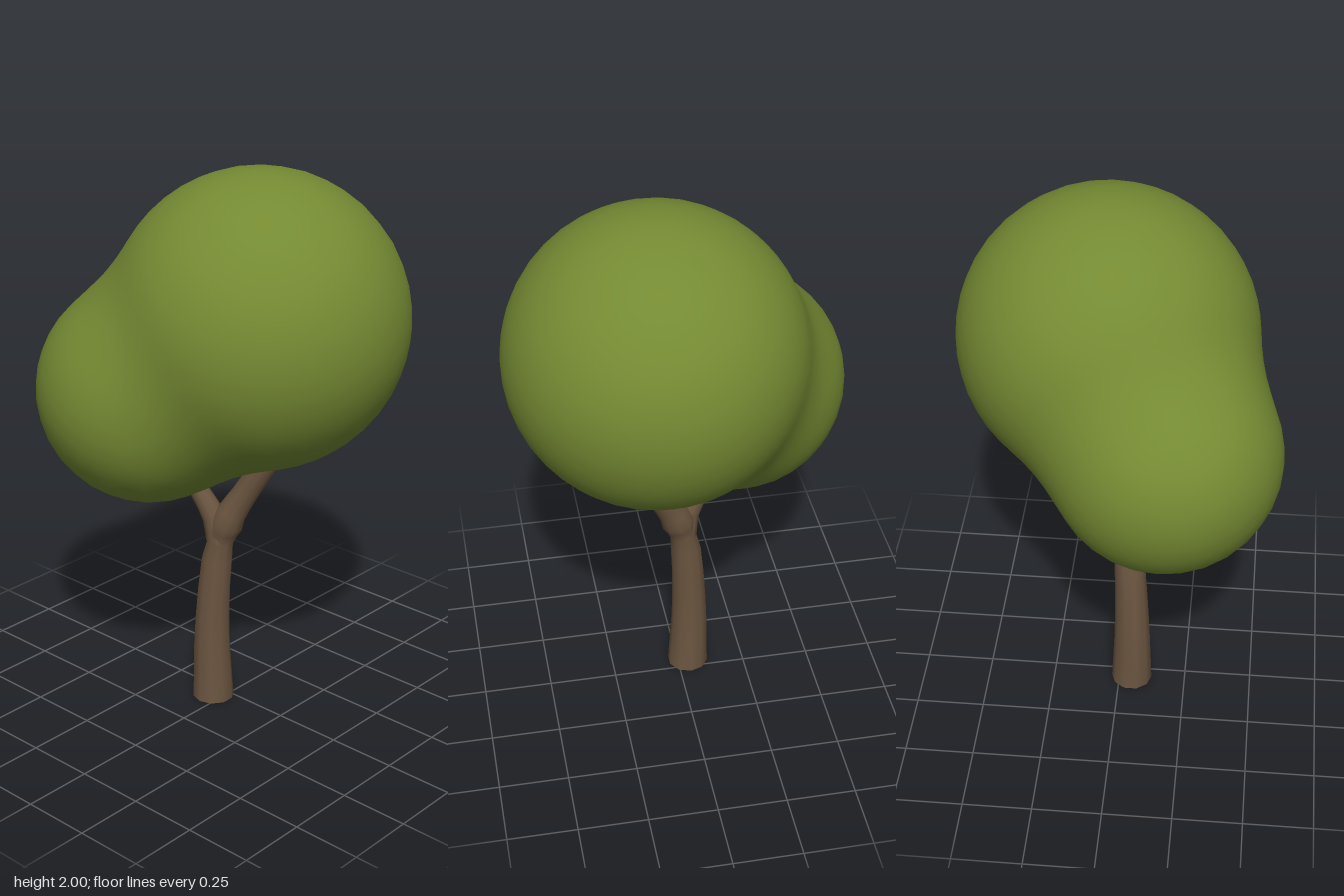
import * as THREE from 'three';
import { mergeVertices } from 'three/addons/utils/BufferGeometryUtils.js';

const V = (x, y, z) => new THREE.Vector3(x, y, z);

// Tapered limb through [x, y, z, radius] points, with horizontal-ish rings and closed ends
function limb(points, sides = 10, steps = 10) {
  const curve = new THREE.CatmullRomCurve3(points.map(p => V(p[0], p[1], p[2])));
  const radii = new THREE.CatmullRomCurve3(points.map(p => V(p[3], 0, 0)));
  const pos = [], index = [];
  for (let i = 0; i <= steps; i++) {
    const t = i / steps;
    const c = curve.getPoint(t), r = radii.getPoint(t).x;
    // the first ring lies flat so that the foot sits on the ground
    const dir = i === 0 ? V(0, 1, 0) : curve.getTangent(t);
    const q = new THREE.Quaternion().setFromUnitVectors(V(0, 1, 0), dir);
    for (let j = 0; j < sides; j++) {
      const a = j / sides * Math.PI * 2;
      const p = V(Math.sin(a) * r, 0, Math.cos(a) * r).applyQuaternion(q).add(c);
      pos.push(p.x, p.y, p.z);
      if (i < steps) {
        const k = (j + 1) % sides, b = i * sides;
        index.push(b + j, b + k, b + sides + k, b + j, b + sides + k, b + sides + j);
      }
    }
  }
  // end caps use their own corners to keep the rims sharp
  for (const ring of [0, steps]) {
    const start = pos.length / 3;
    pos.push(...pos.slice(ring * sides * 3, (ring + 1) * sides * 3));
    for (let j = 1; j < sides - 1; j++) {
      if (ring) index.push(start, start + j, start + j + 1);
      else index.push(start, start + j + 1, start + j);
    }
  }
  const g = new THREE.BufferGeometry();
  g.setAttribute('position', new THREE.Float32BufferAttribute(pos, 3));
  g.setIndex(index);
  g.computeVertexNormals();
  return g;
}

// Two balls of leaves melted together: push a sphere's points out to their blended surface
function foliage() {
  const big = { c: V(0.09, 1.48, -0.05), r: 0.522 };
  const small = { c: V(-0.22, 1.21, 0.17), r: 0.402 };
  const blend = 0.14;
  const distance = p => {
    const a = p.distanceTo(big.c) - big.r, b = p.distanceTo(small.c) - small.r;
    const h = Math.max(blend - Math.abs(a - b), 0) / blend;
    return Math.min(a, b) - h * h * blend / 4;
  };
  const origin = V(-0.04, 1.37, 0.05);
  let g = new THREE.IcosahedronGeometry(1, 9);
  g.deleteAttribute('uv');
  g.deleteAttribute('normal');
  g = mergeVertices(g, 1e-4);
  const pos = g.attributes.position, dir = V(), p = V();
  for (let i = 0; i < pos.count; i++) {
    dir.fromBufferAttribute(pos, i).normalize();
    let lo = 0, hi = 1.5;
    for (let n = 0; n < 24; n++) {
      const mid = (lo + hi) / 2;
      if (distance(p.copy(origin).addScaledVector(dir, mid)) < 0) lo = mid;
      else hi = mid;
    }
    p.copy(origin).addScaledVector(dir, lo);
    pos.setXYZ(i, p.x, p.y, p.z);
  }
  g.computeVertexNormals();
  return g;
}

export function createModel() {
  const group = new THREE.Group();
  group.name = 'tree';
  const bark = new THREE.MeshStandardMaterial({ color: 0x6b5540 });
  const leaves = new THREE.MeshStandardMaterial({ color: 0x758a33 });
  const add = (name, geometry, material) => {
    const mesh = new THREE.Mesh(geometry, material);
    mesh.name = name;
    group.add(mesh);
  };

  // Trunk sweeping up into the longer branch
  add('trunk', limb([
    [-0.04, 0, 0.047, 0.076], [-0.045, 0.3, 0.047, 0.064], [-0.022, 0.62, 0.032, 0.055],
    [0.012, 0.73, 0.018, 0.055], [0.07, 0.84, -0.008, 0.046], [0.155, 0.99, -0.04, 0.044],
  ], 10, 14), bark);

  // Short side branch
  add('sideBranch', limb([
    [-0.02, 0.64, 0.032, 0.05], [-0.04, 0.73, 0.042, 0.043],
    [-0.09, 0.81, 0.056, 0.036], [-0.12, 0.86, 0.064, 0.035],
  ], 10, 6), bark);

  // Leafy crown
  add('crown', foliage(), leaves);
  return group;
}
